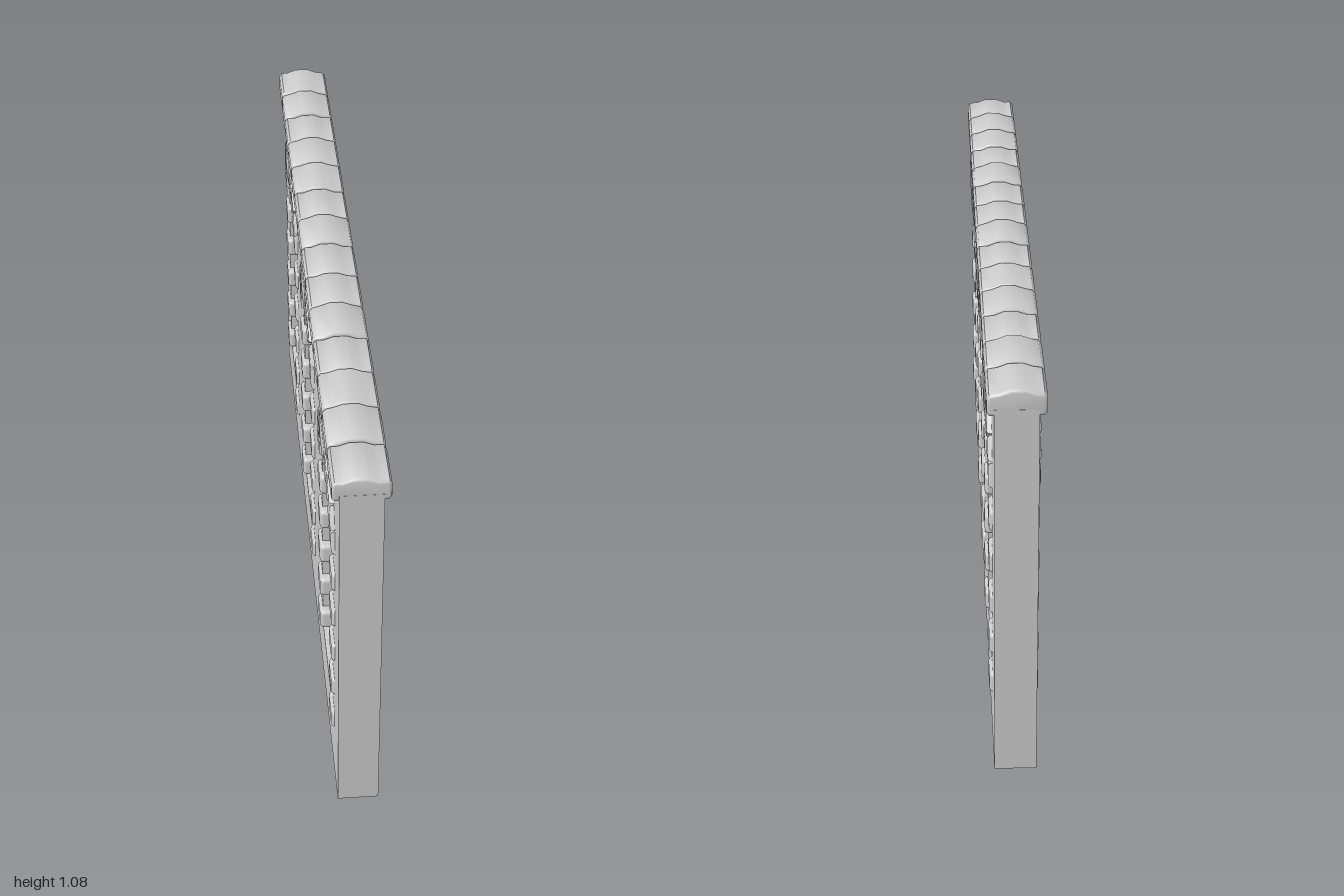
import * as THREE from 'three';
import { toCreasedNormals } from 'three/addons/utils/BufferGeometryUtils.js';
import { RoundedBoxGeometry } from 'three/addons/geometries/RoundedBoxGeometry.js';

const WINDOWS = [0.668, 0.002, -0.664];
const SPRING = 0.76, SILL = 0.16, HALF = 0.17;

const stone = new THREE.MeshStandardMaterial({ color: 0xcccccc });
stone.name = 'lightGreyStone';

function add(parent, name, geometry, x = 0, y = 0, z = 0) {
  const mesh = new THREE.Mesh(geometry, stone);
  mesh.name = name;
  mesh.position.set(x, y, z);
  parent.add(mesh);
  return mesh;
}

// Extrudes an outline drawn in (z, y) through the wall thickness, centred on x = 0
function throughWall(shape, thickness, bevel = 0) {
  const depth = thickness - 2 * bevel;
  const g = new THREE.ExtrudeGeometry(shape, {
    depth, curveSegments: 14, bevelEnabled: bevel > 0, bevelSize: bevel,
    bevelThickness: bevel, bevelOffset: -bevel, bevelSegments: 3,
  });
  g.translate(0, 0, -depth / 2);
  g.rotateY(-Math.PI / 2);
  return bevel > 0 ? toCreasedNormals(g, 0.7) : g;
}

const polygon = (pts) => new THREE.Shape(pts.map(([u, v]) => new THREE.Vector2(u, v)));

// Wall slab pierced by three arched openings
function wallGeometry() {
  const shape = polygon([[-1, 0], [1, 0], [1, 1.03], [-1, 1.03]]);
  for (const c of WINDOWS) {
    const hole = new THREE.Path();
    hole.moveTo(c - HALF, SILL);
    hole.lineTo(c + HALF, SILL);
    hole.lineTo(c + HALF, SPRING);
    hole.absellipse(c, SPRING, HALF, 0.16, 0, Math.PI, false);
    hole.lineTo(c - HALF, SILL);
    shape.holes.push(hole);
  }
  return throughWall(shape, 0.106);
}

// Wedge stones of the arch, mirrored about a wide keystone
function addArch(parent) {
  const arch = new THREE.Group();
  arch.name = 'arch';
  const steps = 4, end = THREE.MathUtils.degToRad(69), gap = 0.008;
  const point = (a, b, t) => [a * Math.cos(t), SPRING + b * Math.sin(t)];
  for (const side of [1, -1]) {
    for (let i = 0; i < steps; i++) {
      const t0 = (end * i) / steps + gap, t1 = (end * (i + 1)) / steps - gap;
      const pts = [point(0.152, 0.14, t0), point(0.23, 0.222, t0),
        point(0.23, 0.222, t1), point(0.152, 0.14, t1)].map(([u, v]) => [u * side, v]);
      if (side < 0) pts.reverse();
      add(arch, 'archStone', throughWall(polygon(pts), 0.126 + i * 0.003, 0.009));
    }
  }
  add(arch, 'keystone', throughWall(polygon([[-0.054, 0.893], [0.054, 0.893],
    [0.08, 0.972], [0.06, 0.982], [-0.06, 0.982], [-0.08, 0.972]]), 0.138, 0.009));
  parent.add(arch);
}

// Spaced blocks up both sides of the opening
function addJambs(parent) {
  for (const side of [1, -1]) {
    for (let i = 0; i < 5; i++) {
      const g = new RoundedBoxGeometry(0.124, 0.06, 0.086, 3, 0.012);
      add(parent, 'jambStone', g, 0, 0.185 + i * 0.12, side * 0.187);
    }
  }
}

// Iron grille: five upright bars and two tilted crossbars
function addGrille(parent) {
  const grille = new THREE.Group();
  grille.name = 'grille';
  for (let i = -2; i <= 2; i++) {
    const top = 0.91 - 0.018 * i * i, bottom = SILL - 0.005;
    const g = new THREE.CylinderGeometry(0.009, 0.009, top - bottom, 8);
    add(grille, 'uprightBar', g, 0, (top + bottom) / 2, i * 0.065);
  }
  for (const y of [0.23, 0.73]) {
    const bar = add(grille, 'crossbar', new THREE.BoxGeometry(0.01, 0.024, 0.345), 0, y, 0);
    bar.rotation.z = -0.5;
  }
  parent.add(grille);
}

// Coping stone: crowned profile in (x, y) swept along z with rounded ends
function copingGeometry(length, lift) {
  const s = polygon([[-0.064, 1.012], [0.064, 1.012], [0.07, 1.02], [0.07, 1.055],
    [0.064, 1.066], [0.04, 1.07 + lift], [0.015, 1.08 + lift], [-0.02, 1.08 + lift],
    [-0.045, 1.071 + lift], [-0.064, 1.069], [-0.071, 1.06], [-0.071, 1.02]]);
  const b = 0.008;
  const g = new THREE.ExtrudeGeometry(s, { depth: length - 2 * b, bevelEnabled: true,
    bevelSize: b, bevelThickness: b, bevelOffset: -b, bevelSegments: 3 });
  g.translate(0, 0, -(length - 2 * b) / 2);
  return toCreasedNormals(g, 0.8);
}

export function createModel() {
  const model = new THREE.Group();
  model.name = 'archedWindowWall';
  add(model, 'wall', wallGeometry());

  WINDOWS.forEach((c) => {
    const win = new THREE.Group();
    win.name = 'window';
    win.position.z = c;
    addArch(win);
    addJambs(win);
    addGrille(win);
    model.add(win);
  });

  // Row of coping stones with slightly uneven tops
  const count = 14, pitch = 2 / count;
  for (let i = 0; i < count; i++) {
    const lift = 0.003 * Math.sin(i * 2.3);
    add(model, 'copingStone', copingGeometry(pitch - 0.001, lift), 0, 0, -1 + (i + 0.5) * pitch);
  }
  return model;
}
